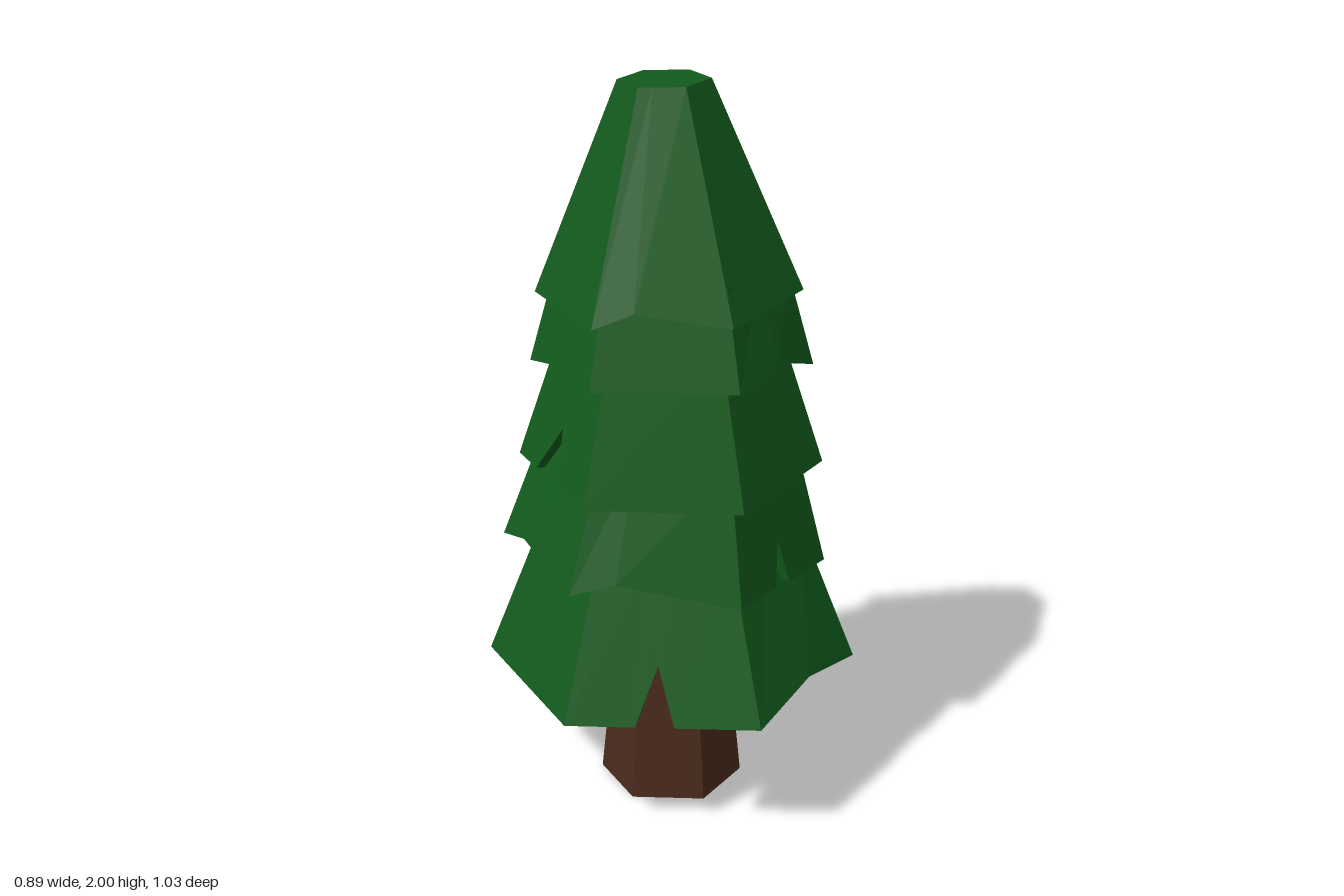
import * as THREE from 'three';

const WALL = 0.045; // thickness of each foliage skirt

// Point on a hexagon's outline: u runs 0..6, corner 0 faces +z, corner 1 is to the model's left
function hexPoint(u, r) {
  const k = Math.floor(u), f = u - k;
  const corner = (i) => new THREE.Vector2(Math.sin(i * Math.PI / 3) * r, Math.cos(i * Math.PI / 3) * r);
  return corner(k).lerp(corner(k + 1), f);
}

// Hollow six-sided skirt. cuts: [u, lift, t] are extra points on the lower rim;
// lift raises the rim straight up, t slides it up the slope to form a notch.
function skirtGeometry({ y, top, r, rTop, c = [0, 0], cTop = c, tilt = [0, 0], cuts = [] }) {
  const rim = [0, 1, 2, 3, 4, 5].map((u) => [u, 0, 0]).concat(cuts).sort((a, b) => a[0] - b[0]);

  const place = (u, radius, centre, height) => {
    const p = hexPoint(u, radius);
    const x = p.x + centre[0], z = p.y + centre[1];
    return new THREE.Vector3(x, height + tilt[0] * x + tilt[1] * z, z);
  };
  const ring = (inset, atTop) => rim.map(([u, lift, t = 0]) => {
    const high = place(u, rTop - inset, cTop, atTop ? top - inset * 0.5 : top);
    if (atTop) return high;
    const low = place(u, r - inset, c, y).lerp(high, t);
    low.y += lift;
    return low;
  });

  const outLow = ring(0, false), outHigh = ring(0, true);
  const inLow = ring(WALL, false), inHigh = ring(WALL, true);
  const centreOf = (loop) => loop.reduce((s, p) => s.add(p), new THREE.Vector3()).divideScalar(loop.length);
  const outMid = centreOf(outHigh), inMid = centreOf(inHigh);

  const pos = [];
  const tri = (...pts) => pts.forEach((p) => pos.push(p.x, p.y, p.z));
  const quad = (a, b, d, e) => { tri(a, b, d); tri(a, d, e); };
  for (let i = 0; i < rim.length; i++) {
    const j = (i + 1) % rim.length;
    quad(outLow[i], outLow[j], outHigh[j], outHigh[i]); // outer slope
    quad(inLow[j], inLow[i], inHigh[i], inHigh[j]);     // inner slope
    quad(outLow[j], outLow[i], inLow[i], inLow[j]);     // lower rim and notch sides
    tri(outHigh[i], outHigh[j], outMid);                // top
    tri(inHigh[j], inHigh[i], inMid);                   // ceiling
  }
  const geo = new THREE.BufferGeometry();
  geo.setAttribute('position', new THREE.Float32BufferAttribute(pos, 3));
  geo.computeVertexNormals();
  return geo;
}

export function createModel() {
  const tree = new THREE.Group();
  tree.name = 'pineTree';
  const leaf = new THREE.MeshStandardMaterial({ color: 0x125a1c, flatShading: true });
  const bark = new THREE.MeshStandardMaterial({ color: 0x4a2a1c, flatShading: true });

  // Tapered trunk, its top hidden in the foliage
  const trunk = new THREE.Mesh(new THREE.CylinderGeometry(0.125, 0.2, 0.74, 6), bark);
  trunk.position.y = 0.37;
  trunk.name = 'trunk';
  tree.add(trunk);

  // Foliage from the bottom up, each skirt slightly off-centre and tilted
  const tiers = [
    {
      y: 0.375, top: 0.78, r: 0.515, rTop: 0.355,
      cuts: [
        [0.36, 0, 0], [0.47, 0, 0.38], [0.56, 0, 0],  // front notch
        [1.5, 0.045, 0],
        [3.42, 0, 0], [3.5, 0, 0.46], [3.72, 0, 0],   // back notch
        [4.5, 0.11, 0],
      ],
    },
    {
      y: 0.7, top: 1.05, r: 0.445, rTop: 0.335, c: [-0.015, 0.015], cTop: [0, 0], tilt: [-0.05, 0.05],
      cuts: [
        [0.27, 0.04, 0],
        [1.4, 0, 0], [1.5, 0, 0.34], [1.56, 0, 0],    // side notch
        [5.33, 0.04, 0],
      ],
    },
    {
      y: 0.957, top: 1.35, r: 0.415, rTop: 0.285, c: [-0.012, -0.015], cTop: [0, 0], tilt: [-0.035, -0.04],
      cuts: [
        [2.5, 0.04, 0], [4.5, 0.07, 0],
        [5.28, 0, 0], [5.5, 0, 0.36], [5.62, 0, 0],   // front notch
      ],
    },
    {
      y: 1.24, top: 1.5, r: 0.378, rTop: 0.305, c: [0.008, 0.012], tilt: [0.03, 0.05],
      cuts: [[1.5, 0.045, 0], [5.75, 0.04, 0]],
    },
    {
      y: 1.435, top: 1.995, r: 0.355, rTop: 0.12, c: [-0.004, 0.006], cTop: [0.002, 0.035], tilt: [-0.01, -0.06],
      cuts: [[0.3, 0.04, 0], [2.6, 0.025, 0]],
    },
  ];
  tiers.forEach((tier, i) => {
    const mesh = new THREE.Mesh(skirtGeometry(tier), leaf);
    mesh.name = `foliageTier${i + 1}`;
    tree.add(mesh);
  });
  return tree;
}
